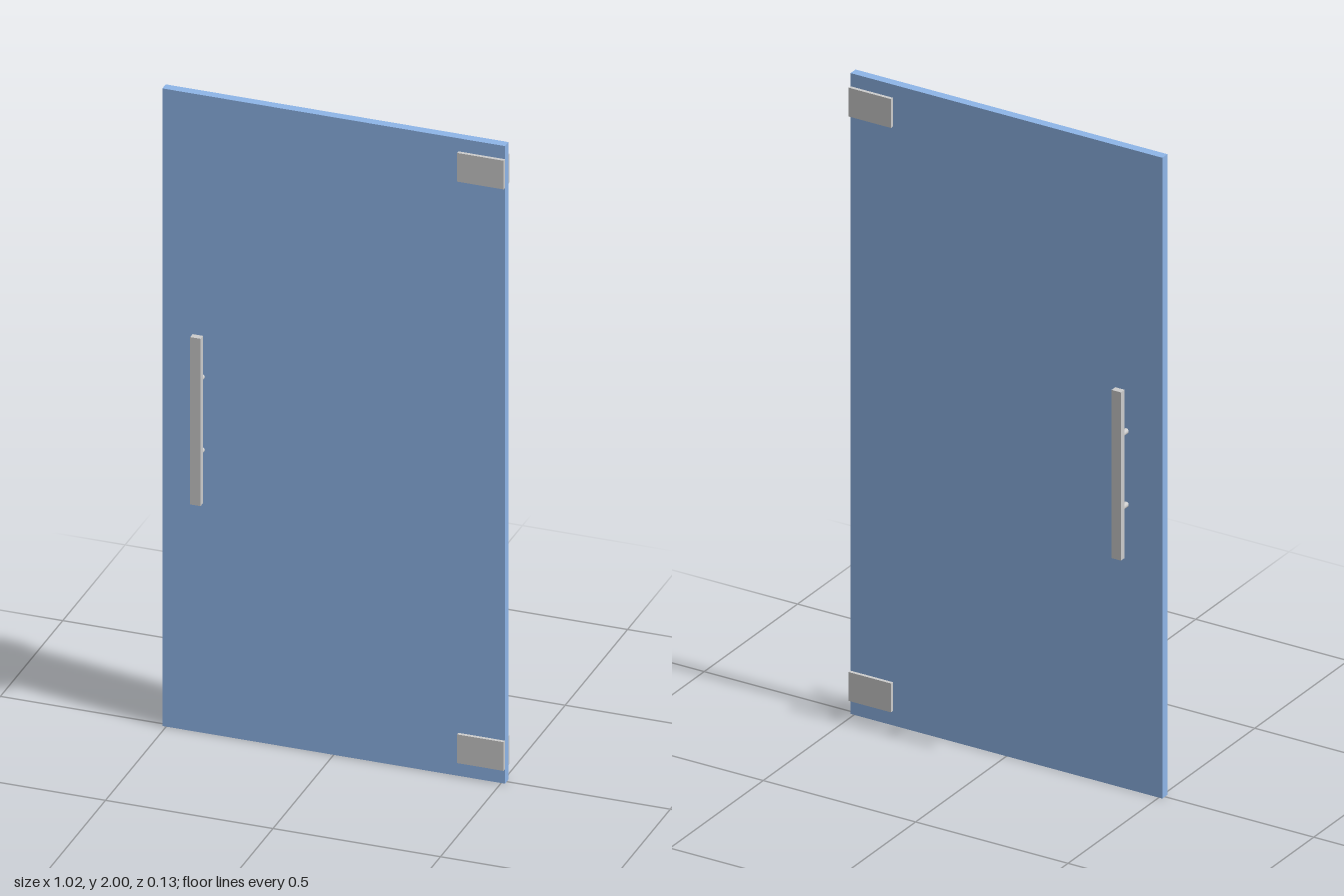
import * as THREE from 'three';

export function createModel() {
  const model = new THREE.Group();
  const metal = new THREE.MeshStandardMaterial({ color: 0xcccccc });
  const glass = new THREE.MeshStandardMaterial({ color: 0x8eb5e8 });

  const WIDTH = 1.023, HEIGHT = 2, THICK = 0.027;

  function add(name, geometry, material, x, y, z) {
    const mesh = new THREE.Mesh(geometry, material);
    mesh.name = name;
    mesh.position.set(x, y, z);
    model.add(mesh);
    return mesh;
  }

  // Door panel
  add('glassPanel', new THREE.BoxGeometry(WIDTH, HEIGHT, THICK), glass, 0, HEIGHT / 2, 0);

  // Shared shapes
  const plateDepth = 0.0105, plateWidth = 0.139;
  const plate = new THREE.BoxGeometry(plateWidth, 0.09, plateDepth);
  const bar = new THREE.BoxGeometry(0.031, 0.525, 0.02);
  const postLength = 0.0335;
  const post = new THREE.CylinderGeometry(0.0083, 0.0083, postLength, 24);
  post.rotateX(Math.PI / 2);

  const handleX = -0.393;
  for (const [label, side] of [['front', 1], ['back', -1]]) {
    // Hinge plates clamped to both faces, flush with the hinge edge
    for (const [level, y] of [['Lower', 0.09], ['Upper', 1.914]]) {
      add(label + level + 'HingePlate', plate, metal,
        (WIDTH - plateWidth) / 2, y, side * (THICK + plateDepth) / 2);
    }
    // Pull handle: vertical bar on two round standoffs
    add(label + 'HandleBar', bar, metal, handleX, 1.001, side * 0.057);
    for (const [level, y] of [['Lower', 0.888], ['Upper', 1.117]]) {
      add(label + level + 'HandlePost', post, metal,
        handleX, y, side * (THICK + postLength) / 2);
    }
  }
  return model;
}
